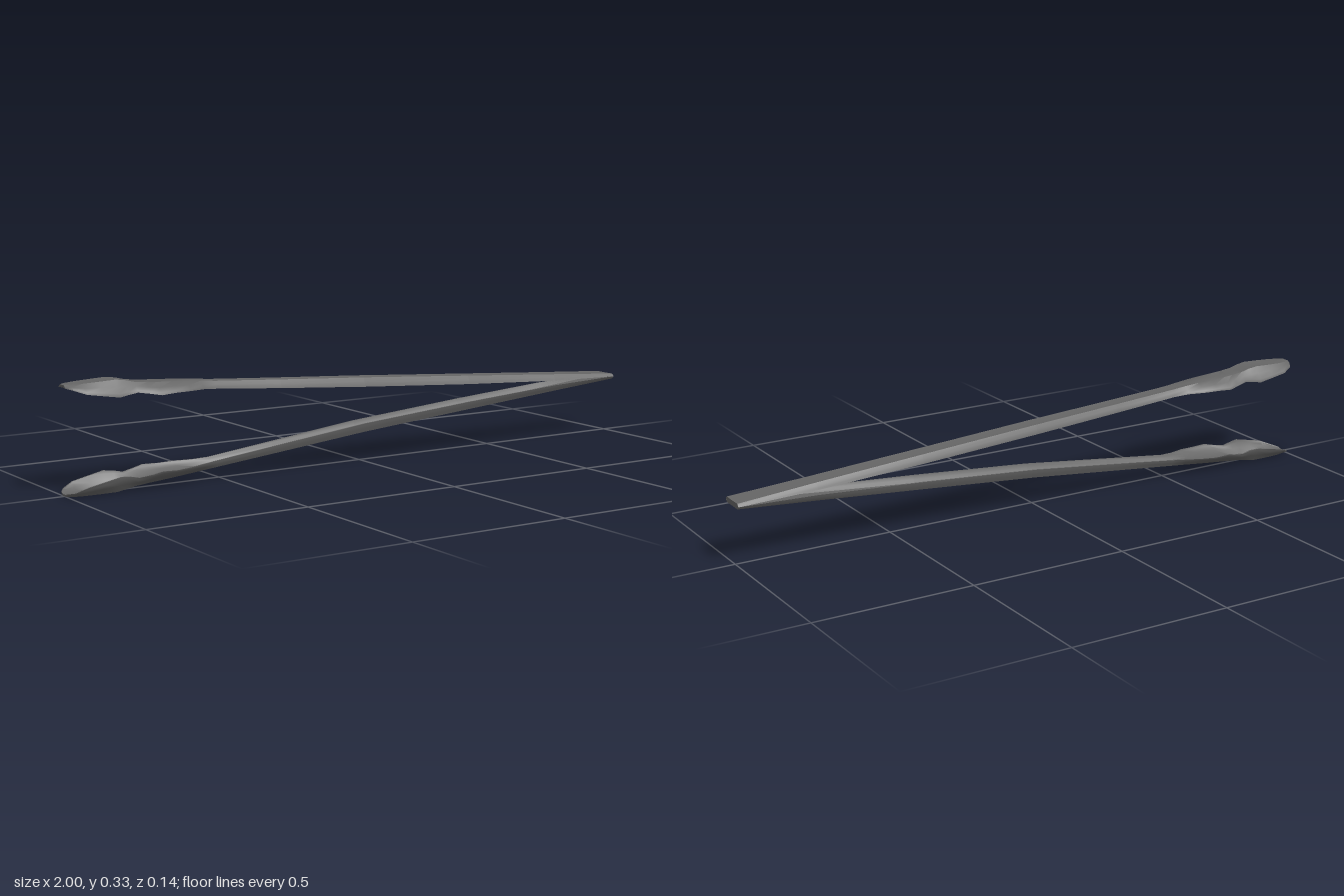
import * as THREE from 'three';
import { toCreasedNormals } from 'three/addons/utils/BufferGeometryUtils.js';

const material = new THREE.MeshStandardMaterial({ color: 0x666666, side: THREE.DoubleSide });
const WALL = 0.005;

// Stations along an arm: x, half width at rim, half width of back, depth of channel
const stations = [
  [-1.0, 0.022, 0.012, 0.009], [-0.985, 0.044, 0.022, 0.014], [-0.95, 0.058, 0.03, 0.028],
  [-0.9, 0.06, 0.033, 0.038], [-0.85, 0.061, 0.033, 0.048], [-0.82, 0.056, 0.032, 0.04],
  [-0.79, 0.056, 0.031, 0.028], [-0.75, 0.064, 0.031, 0.03], [-0.72, 0.068, 0.031, 0.034],
  [-0.67, 0.067, 0.03, 0.028], [-0.62, 0.06, 0.028, 0.026], [-0.57, 0.044, 0.025, 0.023],
  [-0.52, 0.034, 0.023, 0.022], [-0.3, 0.034, 0.024, 0.025], [0, 0.036, 0.026, 0.028],
  [0.4, 0.039, 0.028, 0.026], [0.75, 0.042, 0.031, 0.02], [1.0, 0.045, 0.037, 0.0085],
];
// Height of the outer back of each arm: x, y
const upperBack = [[-1, 0.32], [-0.95, 0.322], [-0.85, 0.326], [-0.82, 0.322], [-0.78, 0.312],
  [-0.7, 0.307], [-0.6, 0.302], [-0.5, 0.292], [0, 0.262], [1, 0.195]];
const lowerBack = [[-1, 0], [-0.85, 0.001], [-0.78, 0.013], [-0.7, 0.02], [-0.6, 0.029],
  [-0.5, 0.038], [0, 0.091], [1, 0.178]];

function lookup(table, x) {
  const k = Math.max(1, table.findIndex((p) => p[0] >= x));
  const [x0, y0] = table[k - 1], [x1, y1] = table[k];
  return y0 + (y1 - y0) * (x - x0) / (x1 - x0);
}

// Open channel section: outer skin from +z to -z, then inner skin back again
function section(w, b, d) {
  const mid = (w + b) / 2;
  const half = [[w, d], [w * 0.96, d * 0.78], [mid, d * 0.42], [b, 0]];
  const outer = [...half, [0, d * 0.05], ...half.slice().reverse().map(([z, h]) => [-z, h])];
  const inner = outer.map(([z, h]) => [z * (1 - WALL / w), h + WALL * (1 - h / d)]).reverse();
  return [...outer, ...inner];
}

function armGeometry(back, side) {
  const pos = [], idx = [];
  let n = 0;
  for (const [x, w, b, d] of stations) {
    const loop = section(w, b, d);
    n = loop.length;
    const y = lookup(back, x);
    for (const [z, h] of loop) pos.push(x, y - side * h, z);
  }
  const quad = (a, b, c, d) => {
    if (side > 0) idx.push(a, b, c, a, c, d);
    else idx.push(a, c, b, a, d, c);
  };
  for (let i = 0; i < stations.length - 1; i++) {
    for (let j = 0; j < n; j++) {
      const k = (j + 1) % n;
      quad(i * n + j, (i + 1) * n + j, (i + 1) * n + k, i * n + k);
    }
  }
  // End walls between the outer and inner skins
  const last = (stations.length - 1) * n;
  for (let j = 0; j < n / 2 - 1; j++) {
    quad(j, j + 1, n - 2 - j, n - 1 - j);
    quad(last + j, last + n - 1 - j, last + n - 2 - j, last + j + 1);
  }
  const g = new THREE.BufferGeometry();
  g.setAttribute('position', new THREE.Float32BufferAttribute(pos, 3));
  g.setIndex(idx);
  return toCreasedNormals(g, 0.7);
}

export function createModel() {
  const group = new THREE.Group();
  group.name = 'tongs';
  const add = (name, geometry) => {
    const mesh = new THREE.Mesh(geometry, material);
    mesh.name = name;
    group.add(mesh);
    return mesh;
  };
  add('upperArm', armGeometry(upperBack, 1));
  add('lowerArm', armGeometry(lowerBack, -1));
  // Plate closing the bend where the two arms meet
  add('hingeEnd', new THREE.BoxGeometry(0.012, 0.015, 0.074)).position.set(0.994, 0.1865, 0);
  return group;
}
